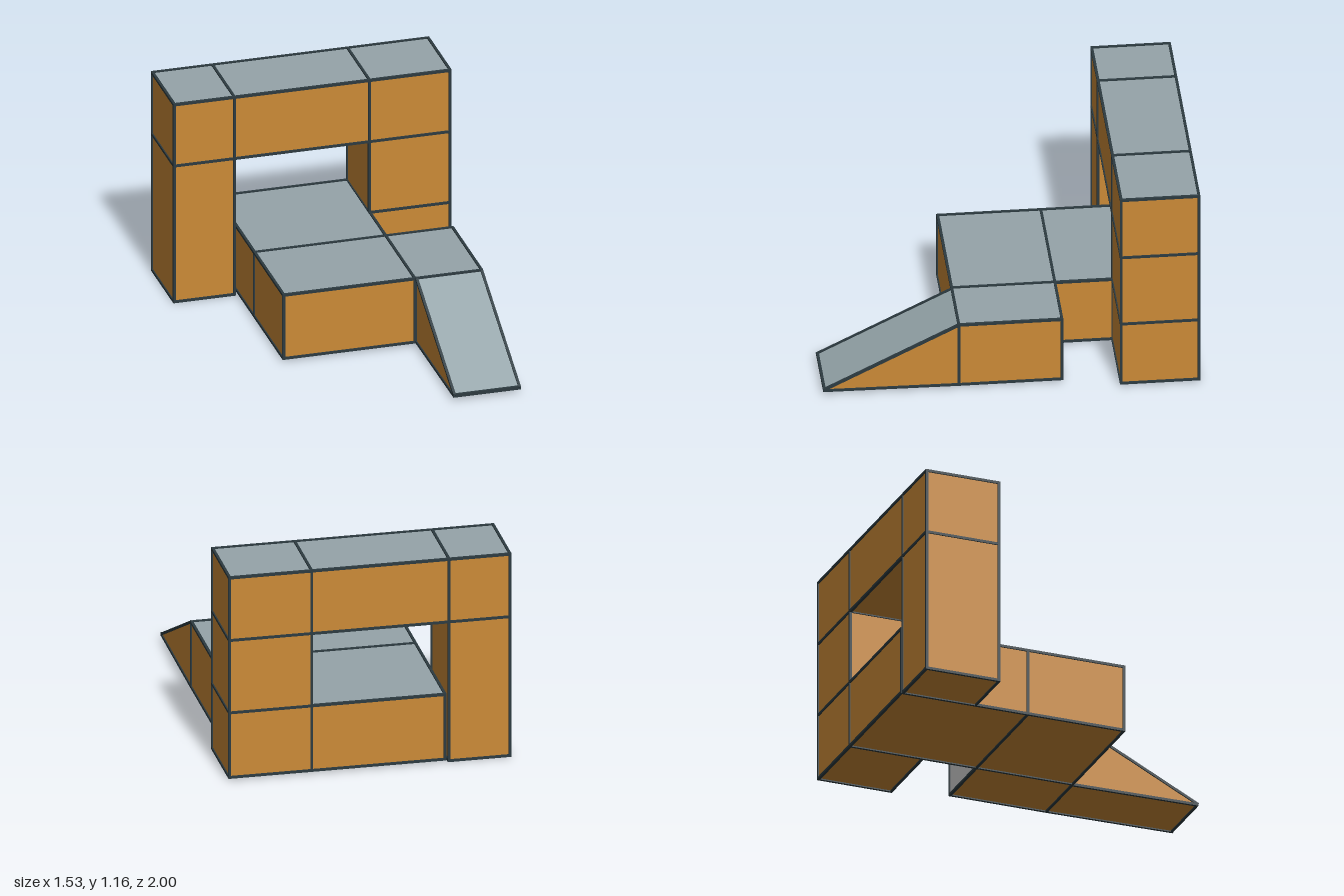
import * as THREE from 'three';

const wood = new THREE.MeshStandardMaterial({ color: 0xcb8a36 });
const slate = new THREE.MeshStandardMaterial({ color: 0x95a4a9 });
const plain = new THREE.MeshStandardMaterial({ color: 0xcccccc });
const dark = new THREE.MeshStandardMaterial({ color: 0x2c3a40 });
const R = 0.007; // half thickness of the edge trim

// Box from its limits: timber sides with a slate top
function blockGeometry([x0, x1], [y0, y1], [z0, z1]) {
  return new THREE.BoxGeometry(x1 - x0, y1 - y0, z1 - z0)
    .translate((x0 + x1) / 2, (y0 + y1) / 2, (z0 + z1) / 2);
}

// Slim square bars along the straight edges of a geometry
function edgeTrim(geometry) {
  const trim = new THREE.Group();
  trim.name = 'edgeTrim';
  const p = new THREE.EdgesGeometry(geometry, 15).attributes.position;
  const up = new THREE.Vector3(0, 1, 0);
  for (let i = 0; i < p.count; i += 2) {
    const a = new THREE.Vector3().fromBufferAttribute(p, i);
    const b = new THREE.Vector3().fromBufferAttribute(p, i + 1);
    const length = a.distanceTo(b);
    if (length < 0.02) continue;
    const bar = new THREE.Mesh(new THREE.BoxGeometry(2 * R, length + 2 * R, 2 * R), dark);
    bar.name = 'edgeBar';
    bar.position.copy(a).add(b).multiplyScalar(0.5);
    bar.quaternion.setFromUnitVectors(up, b.sub(a).normalize());
    trim.add(bar);
  }
  return trim;
}

function part(name, geometry, backMaterial = wood) {
  const group = new THREE.Group();
  group.name = name;
  const body = new THREE.Mesh(geometry, [wood, wood, slate, wood, wood, backMaterial]);
  body.name = name + 'Body';
  group.add(body, edgeTrim(geometry));
  return group;
}

export function createModel() {
  const model = new THREE.Group();
  model.name = 'archWithRamp';

  // Shared grid lines of the layout
  const back = -0.992, archFront = -0.579, step = -0.272, front = 0.276;
  const beamY = 0.801, top = 1.158, deck = 0.387, base = 0.018;
  const rightPost = [-0.76, -0.43], opening = [-0.43, 0.314], leftPost = [0.314, 0.758];
  const platformX = [-0.408, 0.314], archZ = [back, archFront];

  const blocks = [
    // Arch
    ['rightPost', rightPost, [0.007, beamY], archZ],
    ['rightCorner', rightPost, [beamY, top], archZ],
    ['lintel', opening, [beamY, top], archZ],
    ['leftCorner', leftPost, [beamY, top], archZ],
    ['leftPostUpper', leftPost, [deck, beamY], archZ],
    ['leftPostLower', leftPost, [base, deck], archZ],
    // Platform running forward through the arch
    ['platformBack', platformX, [base, deck], [back, step]],
    ['platformFront', platformX, [base, deck], [step, front]],
    // Landing beside the platform
    ['landing', [0.314, 0.682], [base, deck], [step, front], plain],
  ];
  for (const [name, x, y, z, backMaterial] of blocks) {
    model.add(part(name, blockGeometry(x, y, z), backMaterial));
  }

  // Ramp: a block whose front end is squeezed to a thin lip
  const ramp = blockGeometry([0.324, 0.682], [base, deck], [front, 0.99]);
  const p = ramp.attributes.position;
  for (let i = 0; i < p.count; i++) {
    if (p.getZ(i) > 0.9) p.setY(i, p.getY(i) > 0.2 ? 0.03 : 0.025);
  }
  ramp.computeVertexNormals();
  model.add(part('ramp', ramp));

  return model;
}
